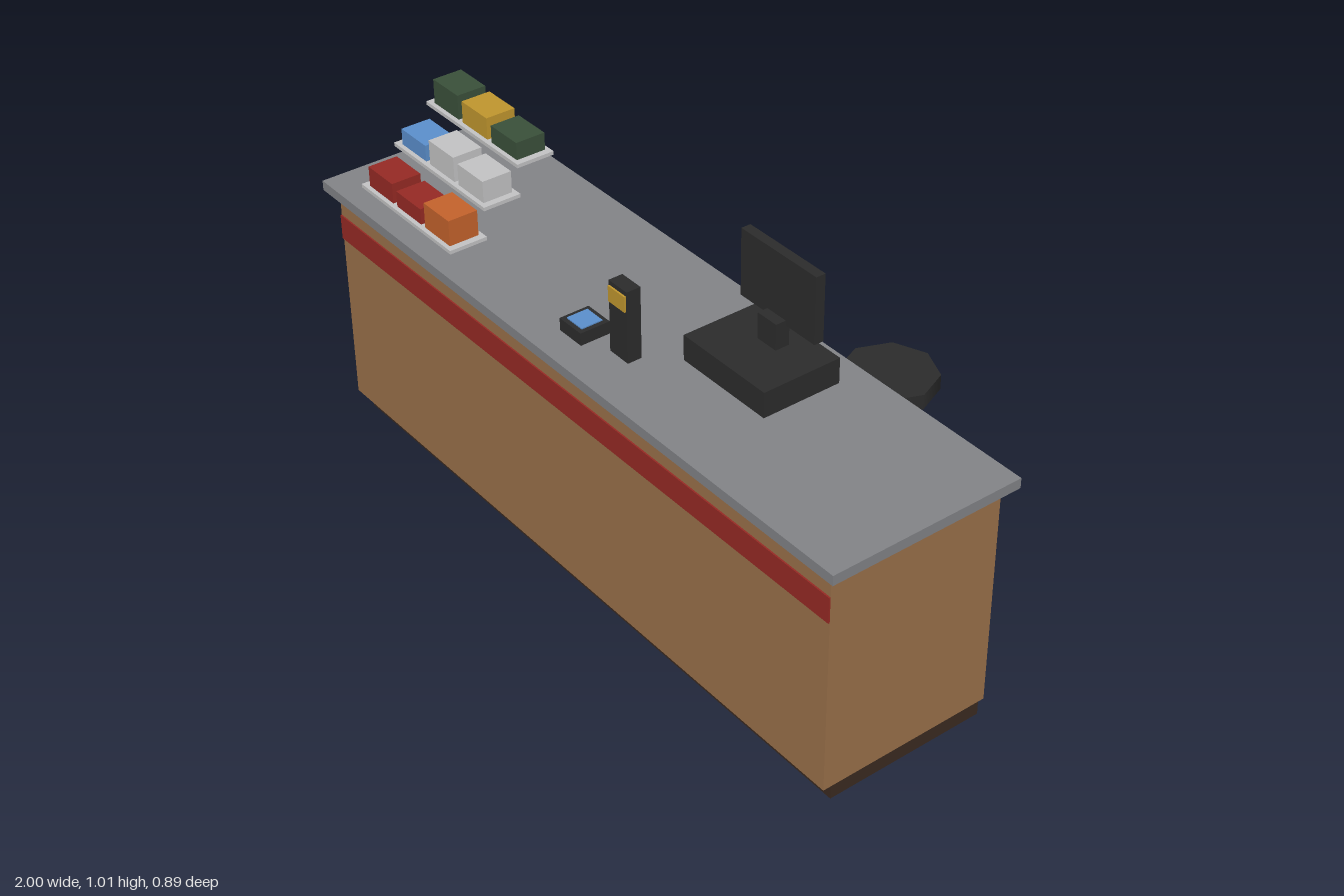
import * as THREE from 'three';

const mat = (name, color) => {
  const m = new THREE.MeshStandardMaterial({ color });
  m.name = name;
  return m;
};

export function createModel() {
  const wood = mat('wood', 0x9a704a);
  const darkBrown = mat('darkBrown', 0x3a2a20);
  const slate = mat('slateGrey', 0x828387);
  const charcoal = mat('charcoal', 0x2c2c2c);
  const red = mat('red', 0x962a24);
  const blue = mat('blue', 0x5b8fcc);
  const green = mat('green', 0x3a503a);
  const yellow = mat('yellow', 0xc0962e);
  const orange = mat('orange', 0xc4622c);
  const silver = mat('silver', 0xc3c3c4);

  const model = new THREE.Group();
  model.name = 'serviceCounter';
  const group = (name) => {
    const g = new THREE.Group();
    g.name = name;
    model.add(g);
    return g;
  };
  const add = (parent, name, geometry, material) => {
    const m = new THREE.Mesh(geometry, material);
    m.name = name;
    parent.add(m);
    return m;
  };
  // Box given by its extents along each axis
  const box = (parent, name, material, [x0, x1], [y0, y1], [z0, z1]) =>
    add(parent, name, new THREE.BoxGeometry(x1 - x0, y1 - y0, z1 - z0), material)
      .position.set((x0 + x1) / 2, (y0 + y1) / 2, (z0 + z1) / 2);

  // Counter
  const counter = group('counter');
  box(counter, 'plinth', darkBrown, [-0.95, 0.95], [0, 0.057], [-0.064, 0.382]);
  box(counter, 'cabinet', wood, [-0.965, 0.965], [0.057, 0.677], [-0.065, 0.417]);
  box(counter, 'frontStripe', red, [-0.965, 0.965], [0.54, 0.61], [0.417, 0.421]);
  box(counter, 'countertop', slate, [-1, 1], [0.677, 0.704], [-0.087, 0.444]);

  // Cash register, with its screen facing the stool
  const register = group('register');
  box(register, 'registerBase', charcoal, [0.202, 0.491], [0.704, 0.773], [-0.01, 0.21]);
  box(register, 'screenStand', charcoal, [0.315, 0.38], [0.773, 0.843], [0.047, 0.086]);
  box(register, 'monitor', charcoal, [0.219, 0.48], [0.83, 1.009], [0.032, 0.058]);
  box(register, 'screen', blue, [0.234, 0.466], [0.845, 0.993], [0.029, 0.032]);

  // Upright terminal
  const terminal = group('terminal');
  box(terminal, 'terminalBody', charcoal, [0.068, 0.136], [0.704, 0.898], [0.281, 0.32]);
  box(terminal, 'terminalPanel', yellow, [0.071, 0.133], [0.844, 0.886], [0.32, 0.325]);

  // Card reader
  const reader = group('cardReader');
  box(reader, 'readerBody', charcoal, [-0.072, 0.011], [0.704, 0.738], [0.279, 0.362]);
  box(reader, 'readerScreen', blue, [-0.06, -0.001], [0.738, 0.741], [0.291, 0.35]);

  // Stepped display: three trays, each with three boxes [material, top]
  const display = group('display');
  const rows = [
    { y: 0.704, z: 0.328, items: [[red, 0.77], [red, 0.758], [orange, 0.785]] },
    { y: 0.788, z: 0.224, items: [[blue, 0.843], [silver, 0.867], [silver, 0.858]] },
    { y: 0.872, z: 0.121, items: [[green, 0.95], [yellow, 0.942], [green, 0.93]] },
  ];
  for (const { y, z, items } of rows) {
    box(display, 'tray', silver, [-0.91, -0.504], [y, y + 0.01], [z - 0.054, z + 0.054]);
    items.forEach(([material, top], i) => {
      const x = -0.834 + i * 0.128;
      box(display, 'displayBox', material, [x - 0.055, x + 0.055], [y + 0.01, top], [z - 0.042, z + 0.042]);
    });
  }

  // Stool
  const stool = group('stool');
  stool.position.set(0.34, 0, -0.306);
  const disc = (name, material, r, y0, y1, sides) =>
    add(stool, name, new THREE.CylinderGeometry(r, r, y1 - y0, sides), material)
      .position.y = (y0 + y1) / 2;
  disc('stoolFoot', silver, 0.138, 0, 0.015, 8);
  disc('stoolPole', silver, 0.021, 0.015, 0.483, 8);
  disc('stoolSeat', charcoal, 0.124, 0.483, 0.525, 8);
  stool.children[0].geometry = stool.children[0].geometry.toNonIndexed();
  stool.children[0].geometry.computeVertexNormals();

  return model;
}
